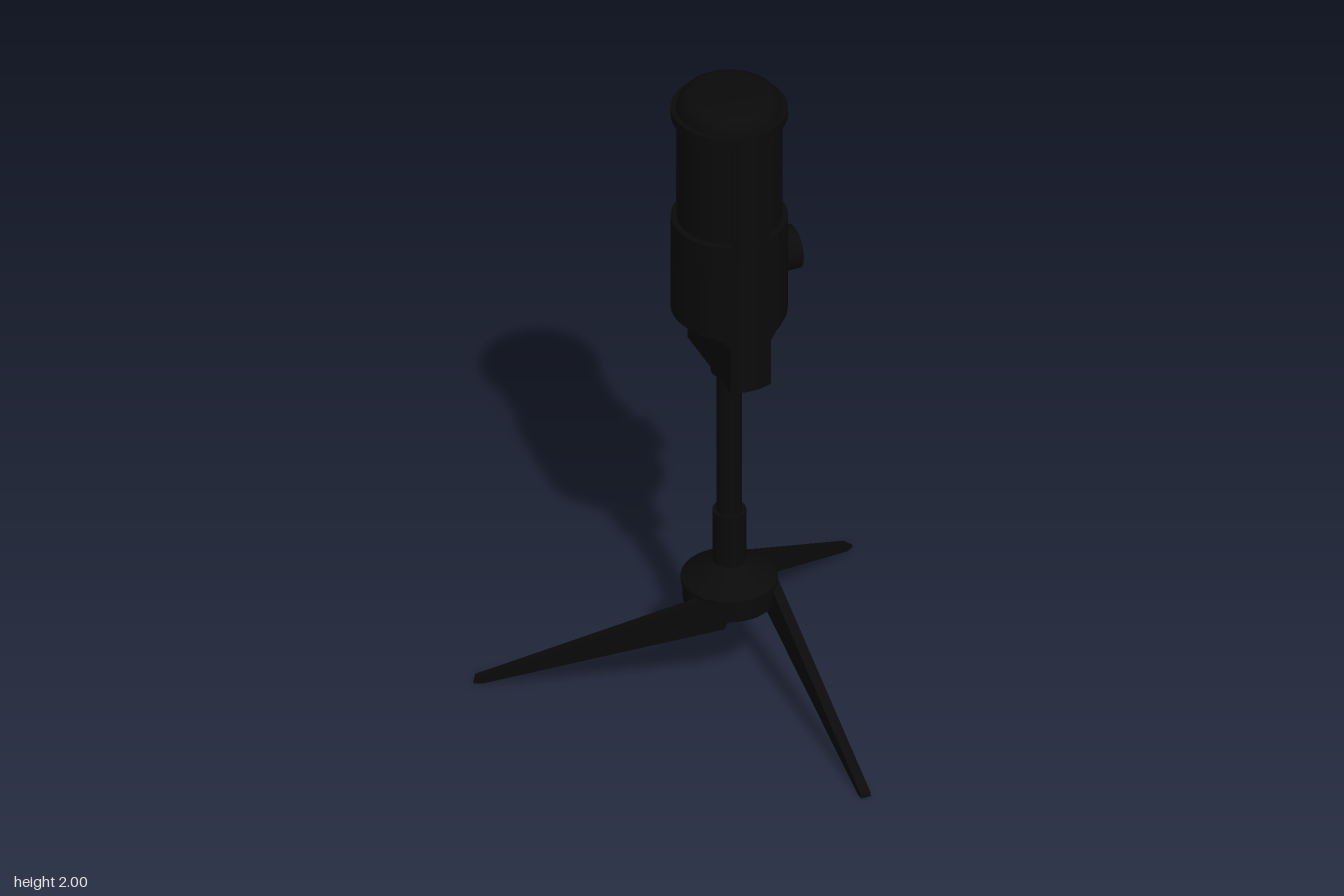
import * as THREE from 'three';
import { toCreasedNormals } from 'three/addons/utils/BufferGeometryUtils.js';

const deg = Math.PI / 180;

// Upright cylinder or cone between two heights
function rod(y0, y1, r0, r1 = r0) {
  return new THREE.CylinderGeometry(r1, r0, y1 - y0, 48).translate(0, (y0 + y1) / 2, 0);
}

// Solid ring sector; angles run from the front (+z) towards +x
function sector(r0, r1, a0, a1, y0, y1) {
  const shape = new THREE.Shape();
  const n = 14;
  const point = (r, a) => [r * Math.sin(a * deg), -r * Math.cos(a * deg)];
  shape.moveTo(...point(r0, a0));
  for (let i = 0; i <= n; i++) shape.lineTo(...point(r1, a0 + (a1 - a0) * i / n));
  for (let i = n; i > 0; i--) shape.lineTo(...point(r0, a0 + (a1 - a0) * i / n));
  const g = new THREE.ExtrudeGeometry(shape, { depth: y1 - y0, bevelEnabled: false });
  return toCreasedNormals(g.rotateX(-Math.PI / 2).translate(0, y0, 0), 0.6);
}

// Stacked circles whose sides are cut off at a half-width: [y, halfWidth]
function clippedLoft(radius, rings) {
  const n = 96, pos = [], idx = [];
  for (const [y, w] of rings) {
    for (let j = 0; j < n; j++) {
      const t = j / n * Math.PI * 2;
      const x = THREE.MathUtils.clamp(radius * Math.sin(t), -w, w);
      pos.push(x, y, radius * Math.cos(t));
    }
  }
  const last = (rings.length - 1) * n, bottom = rings.length * n, top = bottom + 1;
  pos.push(0, rings[0][0], 0, 0, rings[rings.length - 1][0], 0);
  for (let j = 0; j < n; j++) {
    const k = (j + 1) % n;
    for (let i = 0; i < last; i += n) idx.push(i + j, i + k, i + n + k, i + j, i + n + k, i + n + j);
    idx.push(bottom, k, j, top, last + j, last + k);
  }
  const g = new THREE.BufferGeometry();
  g.setAttribute('position', new THREE.Float32BufferAttribute(pos, 3));
  g.setIndex(idx);
  return toCreasedNormals(g, 0.5);
}

export function createModel() {
  const model = new THREE.Group();
  model.name = 'microphoneOnTripod';
  const black = new THREE.MeshStandardMaterial({ color: 0x0a0a0a });
  black.name = 'matte black';

  const add = (name, geometry, parent = model) => {
    const mesh = new THREE.Mesh(geometry, black);
    mesh.name = name;
    parent.add(mesh);
    return mesh;
  };

  // Domed cap with a thin rim
  const cap = [[0, 1.925], [0.166, 1.925], [0.166, 1.952], [0.15, 1.952], [0.146, 1.97],
    [0.134, 1.987], [0.118, 1.997], [0.1, 2], [0, 2]].map(p => new THREE.Vector2(...p));
  add('cap', toCreasedNormals(new THREE.LatheGeometry(cap, 64), 0.6));

  // Upper body with front and back ribs and four grille panels
  add('upperBody', rod(1.57, 1.93, 0.148));
  for (const a of [0, 180]) add('rib', sector(0.13, 0.165, a - 20, a + 20, 1.57, 1.93));
  for (const a of [45, 135, 225, 315]) add('grillePanel', sector(0.14, 0.151, a - 21, a + 21, 1.59, 1.9));

  // Lower housing, scooped at both sides into a narrow foot
  add('housing', clippedLoft(0.166, [[1.08, 0.062], [1.23, 0.062], [1.242, 0.075],
    [1.254, 0.1], [1.262, 0.135], [1.27, 0.166], [1.58, 0.166]]));

  // Side knob
  const knob = new THREE.CylinderGeometry(0.064, 0.064, 0.09, 40);
  add('knob', knob.rotateZ(-Math.PI / 2).translate(0.157, 1.418, 0));

  // Stand
  add('collar', rod(1.05, 1.085, 0.053));
  add('pole', rod(0.5, 1.06, 0.036));
  add('sleeve', rod(0.36, 0.57, 0.048));
  add('hubCone', rod(0.342, 0.4, 0.138, 0.05));
  add('hubFlange', rod(0.33, 0.342, 0.138));
  add('hubCore', rod(0.25, 0.335, 0.06));

  // Tapered legs, each beside the axis, with a hub wall between them
  const outline = [[0, 0.24], [0.69, 0], [0.715, 0], [0.712, 0.012], [0.09, 0.318],
    [0.05, 0.333], [0.01, 0.325], [-0.02, 0.29]].map(p => new THREE.Vector2(...p));
  const legGeometry = new THREE.ExtrudeGeometry(new THREE.Shape(outline), { depth: 0.03, bevelEnabled: false })
    .rotateY(-Math.PI / 2).translate(0.124, 0, 0);
  const wallGeometry = sector(0.05, 0.132, -32, 45, 0.27, 0.335);
  for (let i = 0; i < 3; i++) {
    add('leg', legGeometry).rotation.y = i * 120 * deg;
    add('hubWall', wallGeometry).rotation.y = i * 120 * deg;
  }

  // The stand's axis sits off the origin so that the feet are centred
  model.children.forEach(part => part.position.set(0.047, 0, -0.133));
  return model;
}
